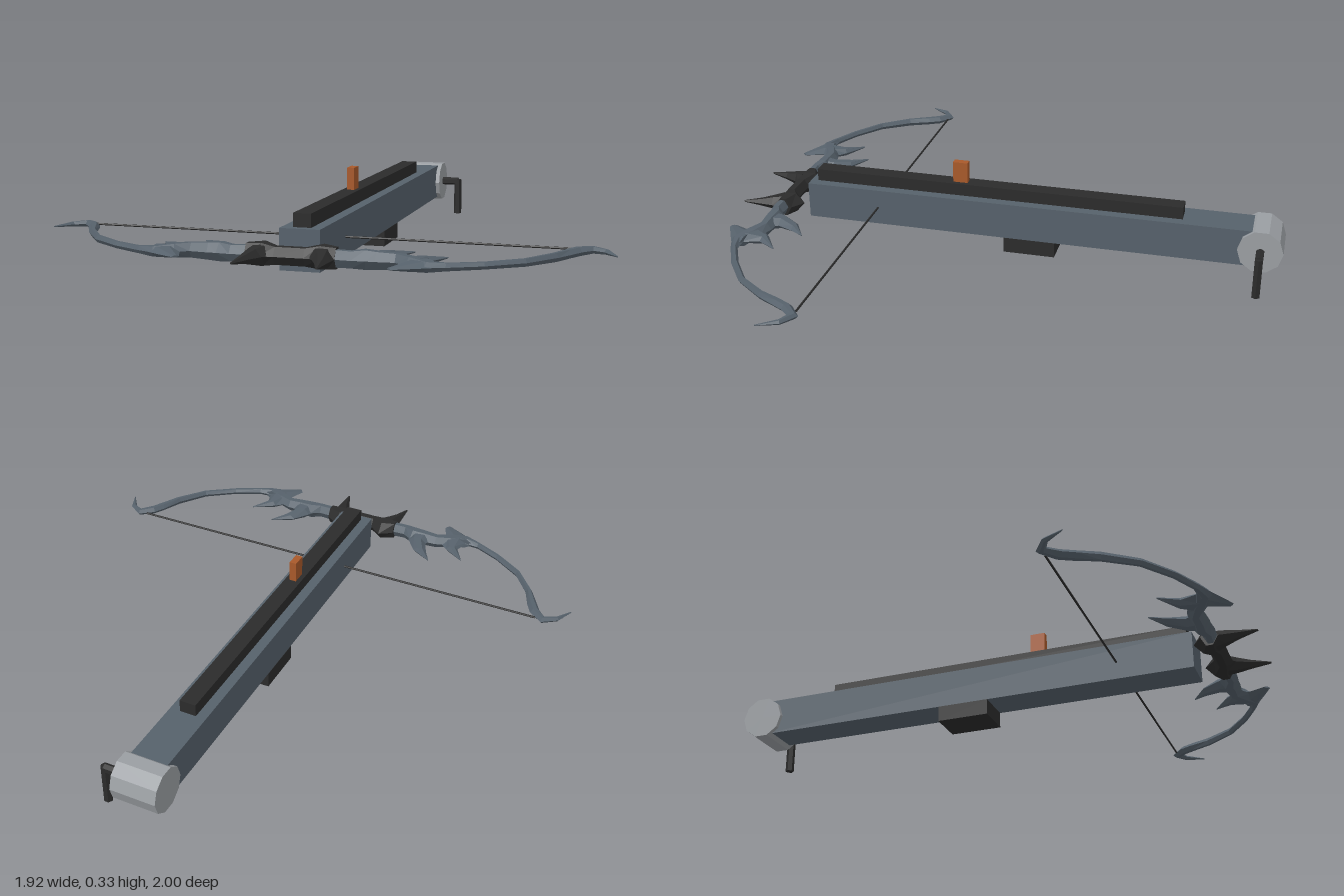
import * as THREE from 'three';

const mat = (name, color) => {
  const m = new THREE.MeshStandardMaterial({ color });
  m.name = name;
  return m;
};

const AXIS_Y = 0.14; // height of the bow, string and winch axle

// Faceted blade lying flat: stations [leftX, leftZ, rightX, rightZ, halfHeight] along its path
function bladeGeometry(stations, side = 1) {
  const pos = [], idx = [], n = 6;
  for (const [ax, az, bx, bz, h] of stations) {
    const ring = [[0, 0], [0.3, h], [0.7, h], [1, 0], [0.7, -h], [0.3, -h]];
    for (const [t, y] of ring) pos.push(side * (ax + (bx - ax) * t), AXIS_Y + y, az + (bz - az) * t);
  }
  const tri = (a, b, c) => (side > 0 ? idx.push(a, b, c) : idx.push(a, c, b));
  const last = (stations.length - 1) * n;
  for (let i = 0; i < last; i += n) {
    for (let j = 0; j < n; j++) {
      const k = (j + 1) % n;
      tri(i + j, i + k, i + n + j);
      tri(i + k, i + n + k, i + n + j);
    }
  }
  for (let j = 1; j < n - 1; j++) {
    tri(0, j + 1, j);
    tri(last, last + j, last + j + 1);
  }
  const g = new THREE.BufferGeometry();
  g.setAttribute('position', new THREE.Float32BufferAttribute(pos, 3));
  g.setIndex(idx);
  const flat = g.toNonIndexed();
  flat.computeVertexNormals();
  return flat;
}

export function createModel() {
  const model = new THREE.Group();
  model.name = 'crossbow';

  const steel = mat('blueGreySteel', 0x56616b);
  const dark = mat('darkIron', 0x2b2b2b);
  const pale = mat('paleMetal', 0x9a9ea2);
  const copper = mat('copper', 0xa8592a);
  for (const m of [steel, dark, pale, copper]) m.flatShading = true;

  const add = (name, geometry, material, parent = model) => {
    const mesh = new THREE.Mesh(geometry, material);
    mesh.name = name;
    parent.add(mesh);
    return mesh;
  };
  // Box given by its limits on each axis, centred on x
  const box = (name, halfX, y0, y1, z0, z1, material) =>
    add(name, new THREE.BoxGeometry(halfX * 2, y1 - y0, z1 - z0), material)
      .position.set(0, (y0 + y1) / 2, (z0 + z1) / 2);
  // Cylinder lying along x
  const rodX = (name, r, x0, x1, z, sides, turn, material) => {
    const g = new THREE.CylinderGeometry(r, r, x1 - x0, sides).rotateY(turn).rotateZ(Math.PI / 2);
    add(name, g, material).position.set((x0 + x1) / 2, AXIS_Y, z);
  };

  // Stock and its fittings
  box('stock', 0.067, 0.075, 0.21, -0.92, 0.763, steel);
  box('boltRail', 0.03, 0.21, 0.255, -0.64, 0.737, dark);
  box('sight', 0.013, 0.255, 0.333, 0.155, 0.21, copper);
  box('triggerBlock', 0.068, 0.018, 0.075, -0.185, 0.005, dark);

  // Winch drum with its crank
  rodX('winchDrum', 0.08, -0.083, 0.083, -0.92, 10, 0, pale);
  rodX('crankAxle', 0.016, 0.08, 0.15, -0.92, 6, Math.PI / 2, dark);
  add('crankHandle', new THREE.CylinderGeometry(0.016, 0.016, 0.148, 6).rotateY(Math.PI / 2), dark)
    .position.set(0.149, 0.074, -0.92);

  // Bowstring
  rodX('bowstring', 0.004, -0.845, 0.845, 0.49, 6, 0, dark);

  // Dark centre of the bow
  const half = [[0.145, 0.805, 0.865, 0.033], [0.095, 0.772, 0.877, 0.036], [0.048, 0.812, 0.873, 0.028]];
  const centre = [
    ...half.map(([x, a, b, h]) => [-x, a, -x, b, h]),
    ...half.slice().reverse().map(([x, a, b, h]) => [x, a, x, b, h]),
  ];
  add('bowCentre', bladeGeometry(centre), dark);

  // One limb, from the centre out to the recurved tip
  const limb = [
    [0.13, 0.815, 0.13, 0.862, 0.027],
    [0.19, 0.818, 0.195, 0.866, 0.026],
    [0.225, 0.795, 0.24, 0.862, 0.03],
    [0.275, 0.80, 0.27, 0.862, 0.027],
    [0.33, 0.802, 0.33, 0.857, 0.024],
    [0.39, 0.82, 0.37, 0.885, 0.022],
    [0.45, 0.86, 0.43, 0.91, 0.016],
    [0.495, 0.857, 0.49, 0.886, 0.012],
    [0.587, 0.81, 0.597, 0.834, 0.011],
    [0.693, 0.735, 0.708, 0.754, 0.012],
    [0.765, 0.635, 0.788, 0.648, 0.014],
    [0.797, 0.555, 0.824, 0.585, 0.014],
    [0.82, 0.513, 0.847, 0.543, 0.014],
    [0.873, 0.471, 0.878, 0.507, 0.011],
    [0.931, 0.51, 0.912, 0.522, 0.008],
    [0.96, 0.582, 0.957, 0.583, 0.002],
  ];
  // Spikes growing out of the limb and the centre
  const outerBarb = [
    [0.335, 0.835, 0.45, 0.875, 0.02],
    [0.385, 0.787, 0.428, 0.805, 0.014],
    [0.465, 0.735, 0.467, 0.737, 0.002],
  ];
  const innerBarb = [
    [0.205, 0.835, 0.32, 0.835, 0.024],
    [0.225, 0.785, 0.296, 0.79, 0.02],
    [0.268, 0.725, 0.32, 0.732, 0.012],
    [0.348, 0.677, 0.35, 0.679, 0.002],
  ];
  const forwardBarb = [
    [0.48, 0.868, 0.345, 0.835, 0.018],
    [0.455, 0.9, 0.354, 0.873, 0.016],
    [0.40, 0.93, 0.342, 0.905, 0.01],
    [0.344, 0.958, 0.328, 0.938, 0.003],
  ];
  const centreSpike = [
    [0.147, 0.84, 0.055, 0.86, 0.03],
    [0.143, 0.885, 0.08, 0.885, 0.024],
    [0.14, 0.93, 0.103, 0.93, 0.014],
    [0.137, 0.998, 0.129, 0.998, 0.003],
  ];
  for (const [label, side] of [['left', 1], ['right', -1]]) {
    const arm = new THREE.Group();
    arm.name = `${label}BowArm`;
    model.add(arm);
    add(`${label}Limb`, bladeGeometry(limb, side), steel, arm);
    add(`${label}OuterBarb`, bladeGeometry(outerBarb, side), steel, arm);
    add(`${label}InnerBarb`, bladeGeometry(innerBarb, side), steel, arm);
    add(`${label}ForwardBarb`, bladeGeometry(forwardBarb, side), steel, arm);
    add(`${label}CentreSpike`, bladeGeometry(centreSpike, side), dark, arm);
  }
  return model;
}
